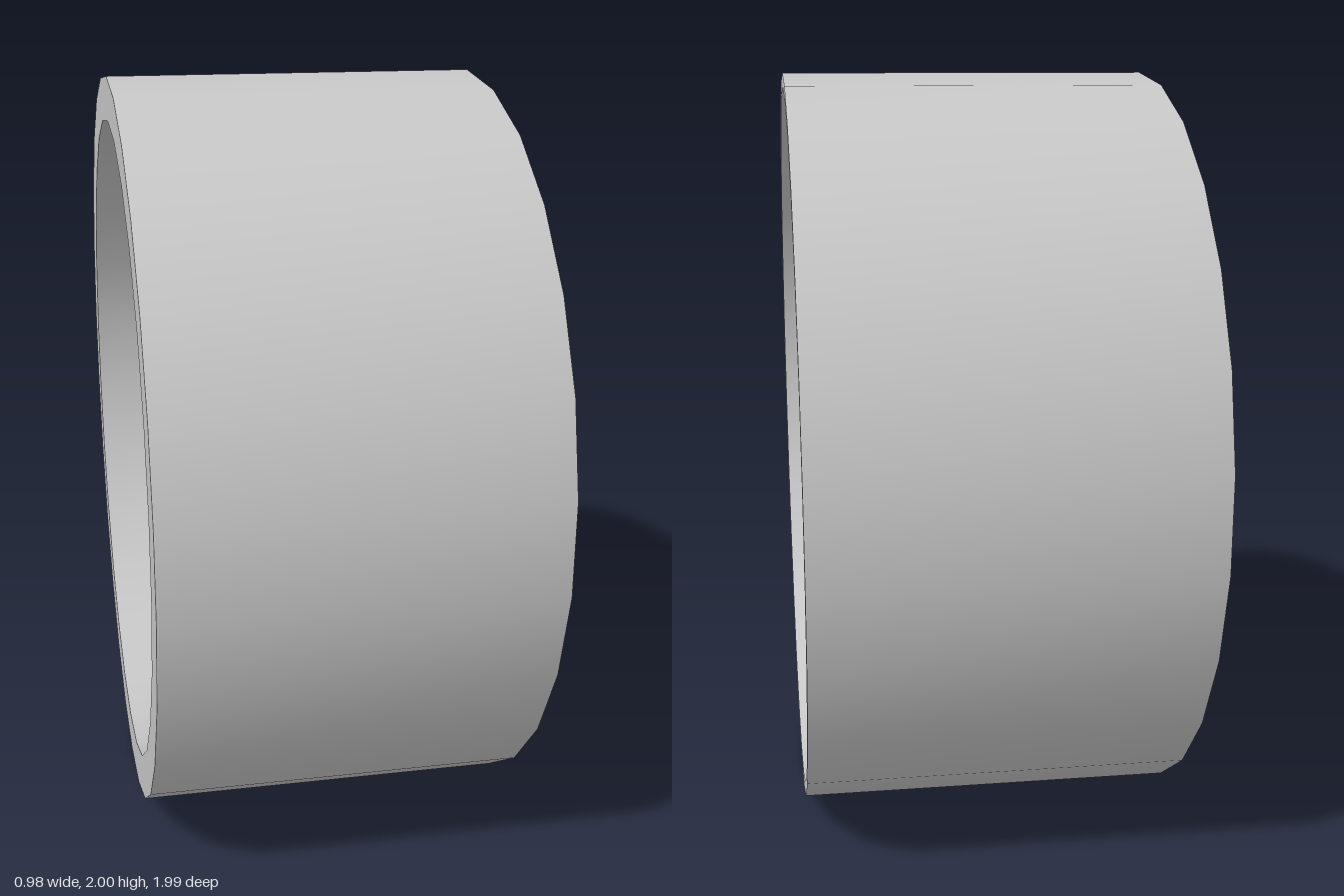
import * as THREE from 'three';
import { toCreasedNormals } from 'three/addons/utils/BufferGeometryUtils.js';

const metal = new THREE.MeshStandardMaterial({ color: 0xc6c6c6 });
metal.name = 'light grey metal';

function part(name, geometry, crease = 0.6) {
  const mesh = new THREE.Mesh(toCreasedNormals(geometry, crease), metal);
  mesh.name = name;
  return mesh;
}

// Solid of revolution about z; profile pairs are [radius, z], running upward on the outside
function turned(name, profile, segments) {
  const points = profile.map(([r, z]) => new THREE.Vector2(r, z));
  return part(name, new THREE.LatheGeometry(points, segments).rotateX(Math.PI / 2));
}

// Curved, tapering bar. Stations are [radial, sideways, front z, half width, depth]
function spokeArm(stations, side) {
  const steps = 20, sides = 14;
  const path = new THREE.CatmullRomCurve3(stations.map(([u, v, z]) => new THREE.Vector3(v * side, u, z)));
  const size = new THREE.CatmullRomCurve3(stations.map((s) => new THREE.Vector3(s[3], s[4], 0)));
  const round = (n) => Math.sign(n) * Math.pow(Math.abs(n), 0.75);
  const positions = [], index = [];
  for (let i = 0; i <= steps; i++) {
    const p = path.getPoint(i / steps), t = path.getTangent(i / steps), s = size.getPoint(i / steps);
    const length = Math.hypot(t.x, t.y);
    for (let j = 0; j < sides; j++) {
      const a = (j / sides) * Math.PI * 2;
      const across = s.x * round(Math.cos(a));
      positions.push(
        p.x + (across * t.y) / length,
        p.y - (across * t.x) / length,
        p.z + (s.y / 2) * (round(Math.sin(a)) - 1));
    }
  }
  for (let i = 0; i < steps; i++) {
    for (let j = 0; j < sides; j++) {
      const a = i * sides + j, b = i * sides + ((j + 1) % sides);
      index.push(a, a + sides, b, b, a + sides, b + sides);
    }
  }
  // blunt ends
  const last = steps * sides;
  for (let j = 1; j < sides - 1; j++) {
    index.push(0, j, j + 1, last, last + j + 1, last + j);
  }
  const geometry = new THREE.BufferGeometry();
  geometry.setAttribute('position', new THREE.Float32BufferAttribute(positions, 3));
  geometry.setIndex(index);
  return geometry;
}

export function createModel() {
  const model = new THREE.Group();
  model.name = 'wheel';
  const wheel = new THREE.Group();
  wheel.name = 'wheelAssembly';
  wheel.rotation.y = Math.PI / 2; // axle along x, spokes facing +x
  wheel.position.y = 1;
  model.add(wheel);

  // Barrel with a sloped lip and a step that carries the spoke tips
  wheel.add(turned('rimBarrel', [
    [1, -0.49], [1, 0.49], [0.965, 0.49], [0.928, 0.34],
    [0.885, 0.34], [0.885, -0.49], [1, -0.49],
  ], 26));

  // Brake disc and the hub carrier joining it to the wheel centre
  wheel.add(turned('brakeDisc', [[0, -0.12], [0.72, -0.12], [0.72, -0.05], [0, -0.05]], 40));
  wheel.add(turned('hubCarrier', [[0.27, -0.06], [0.27, 0.185], [0, 0.185]], 40));

  // Hub face with five bolt holes
  const face = new THREE.Shape().absarc(0, 0, 0.28, 0, Math.PI * 2, false);
  for (let k = 0; k < 5; k++) {
    const a = Math.PI / 2 + (k * Math.PI * 2) / 5;
    const x = Math.cos(a) * 0.235, y = Math.sin(a) * 0.235;
    face.holes.push(new THREE.Path().absarc(x, y, 0.034, 0, Math.PI * 2, true));
  }
  const plate = new THREE.ExtrudeGeometry(face, { depth: 0.07, bevelEnabled: false, curveSegments: 24 });
  wheel.add(part('hubFace', plate.translate(0, 0, 0.15)));

  // Flared collar around the hub face
  wheel.add(turned('hubCollar', [
    [0.275, 0.15], [0.36, 0.15], [0.38, 0.19], [0.383, 0.23], [0.372, 0.255], [0.35, 0.263],
    [0.325, 0.255], [0.30, 0.237], [0.28, 0.222], [0.275, 0.21], [0.275, 0.15],
  ], 60));

  // Domed centre cap
  const dome = [[0.134, 0.2], [0.134, 0.245]];
  for (let i = 1; i <= 8; i++) {
    const a = (i / 8) * Math.PI / 2;
    dome.push([0.13 * Math.cos(a), 0.25 + 0.05 * Math.sin(a)]);
  }
  wheel.add(turned('centreCap', dome, 40));

  // Ten forked spokes: five with a long stem alternate with five that split at the hub
  const stemmed = [
    [0.30, 0.035, 0.235, 0.045, 0.09], [0.38, 0.028, 0.28, 0.035, 0.11], [0.52, 0.029, 0.335, 0.029, 0.11],
    [0.70, 0.073, 0.37, 0.024, 0.10], [0.92, 0.139, 0.345, 0.016, 0.08],
  ];
  const split = [
    [0.30, 0.048, 0.235, 0.055, 0.09], [0.38, 0.056, 0.28, 0.038, 0.11], [0.50, 0.083, 0.33, 0.028, 0.11],
    [0.70, 0.137, 0.37, 0.023, 0.10], [0.91, 0.198, 0.345, 0.016, 0.08],
  ];
  for (let k = 0; k < 10; k++) {
    const spoke = new THREE.Group();
    spoke.name = 'forkedSpoke';
    spoke.rotation.z = (k * Math.PI) / 5;
    for (const side of [-1, 1]) {
      spoke.add(part('spokeArm', spokeArm(k % 2 ? split : stemmed, side), 0.9));
    }
    wheel.add(spoke);
  }
  return model;
}
